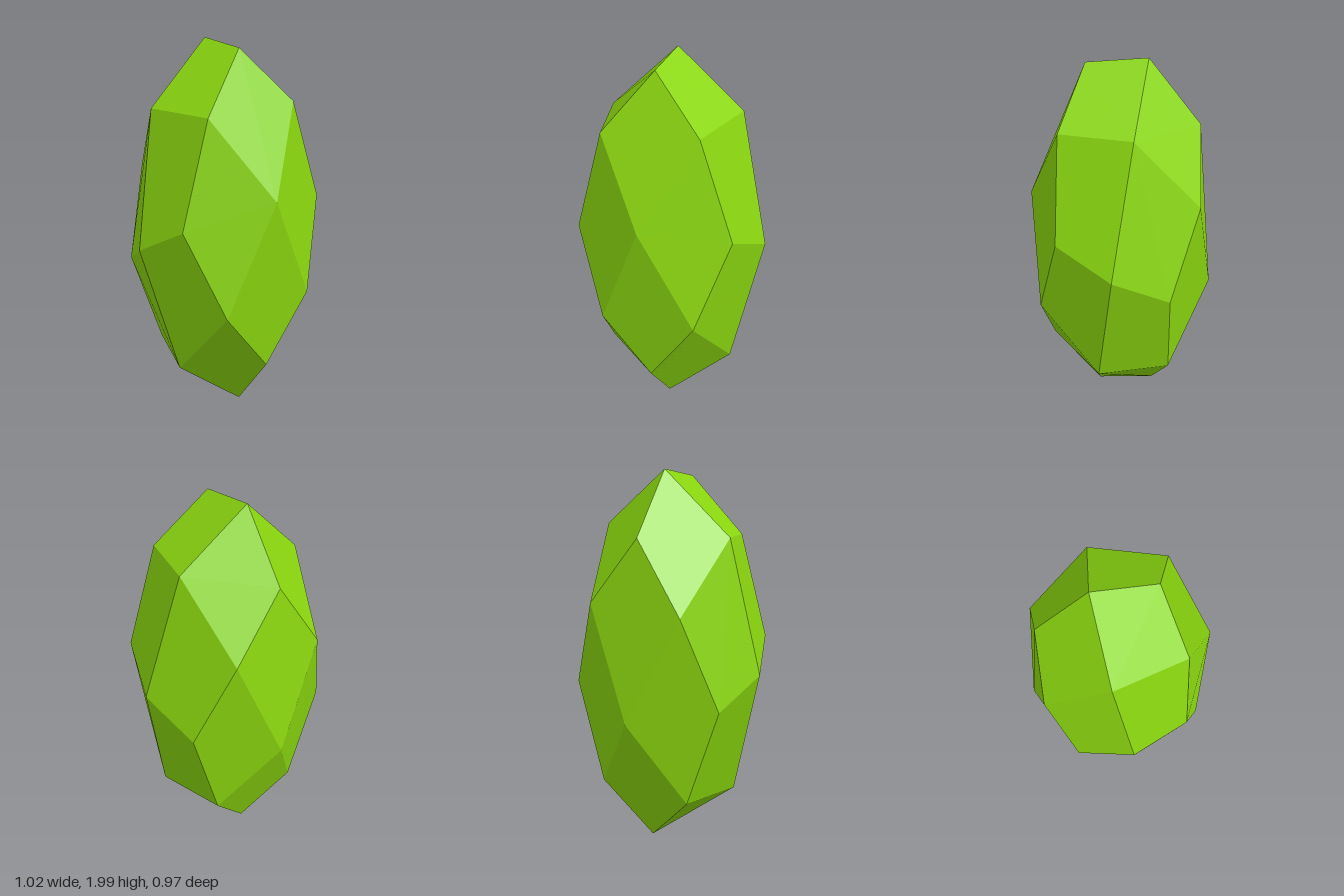
import * as THREE from 'three';

// Tilted, stretched ball made from a cube with each side split into four flat-shaded kites
const axes = [
  new THREE.Vector3(0.34, 0.72, -0.08),
  new THREE.Vector3(-0.37, 0.665, -0.1),
  new THREE.Vector3(-0.02, 0.25, 0.485),
];
// Scale that rounds side centres, edge midpoints and corners onto the ball
const rounding = [0, 1, 0.72, 0.591];

// Combine up to three signed axes into one point of the ball
function ballPoint(...signedAxes) {
  const p = new THREE.Vector3();
  for (const [axis, sign] of signedAxes) p.addScaledVector(axes[axis], sign);
  return p.multiplyScalar(rounding[signedAxes.length]);
}

function createFacetedBall() {
  const positions = [], normals = [];
  for (let i = 0; i < 3; i++) {
    for (const si of [1, -1]) for (const sj of [1, -1]) for (const sk of [1, -1]) {
      const u = [i, si], v = [(i + 1) % 3, sj], w = [(i + 2) % 3, sk];
      const centre = ballPoint(u), corner = ballPoint(u, v, w);
      let b = ballPoint(u, v), d = ballPoint(u, w);
      if (si * sj * sk < 0) [b, d] = [d, b]; // keep the kite facing outward
      const normal = corner.clone().sub(centre).cross(d.clone().sub(b)).normalize();
      for (const p of [centre, b, corner, centre, corner, d]) {
        positions.push(...p.toArray());
        normals.push(...normal.toArray());
      }
    }
  }
  const geometry = new THREE.BufferGeometry();
  geometry.setAttribute('position', new THREE.Float32BufferAttribute(positions, 3));
  geometry.setAttribute('normal', new THREE.Float32BufferAttribute(normals, 3));
  return geometry;
}

export function createModel() {
  const group = new THREE.Group();
  group.name = 'facetedBush';
  const foliage = new THREE.Mesh(
    createFacetedBall(),
    new THREE.MeshStandardMaterial({ color: 0x8ad60f }),
  );
  foliage.name = 'foliage';
  foliage.position.y = 1;
  group.add(foliage);
  return group;
}
